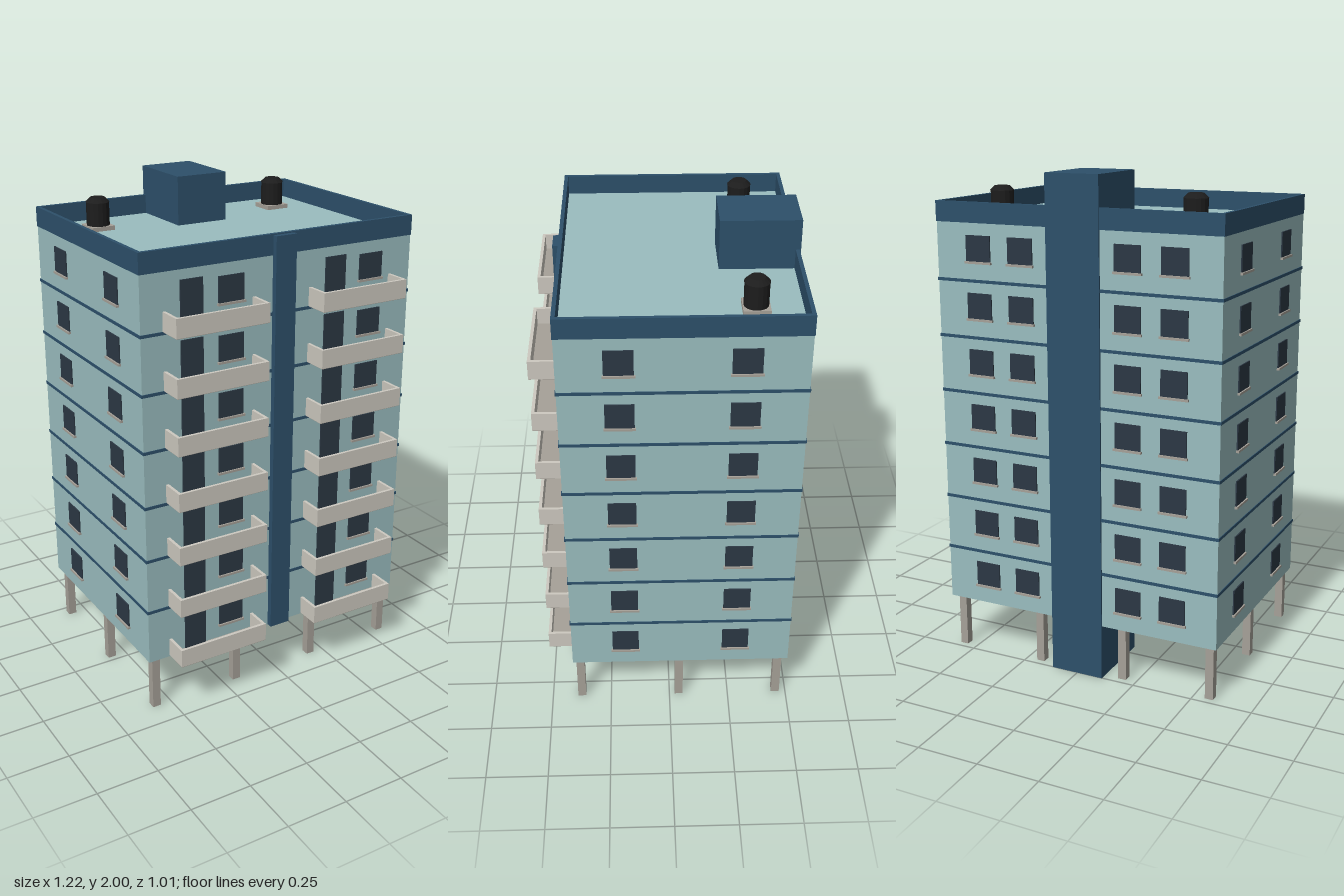
import * as THREE from 'three';

const W = 0.6, FRONT = 0.405, BACK = -0.495;
const BASE = 0.225, STOREY = 0.225, FLOORS = 7, ROOF = BASE + STOREY * FLOORS;

function material(name, color) {
  const m = new THREE.MeshStandardMaterial({ color });
  m.name = name;
  return m;
}

export function createModel() {
  const wall = material('pale teal wall', 0x9abdbf);
  const navy = material('navy trim', 0x2d506a);
  const plaster = material('balcony plaster', 0xcdc9c0);
  const concrete = material('concrete', 0xa6a198);
  const glass = material('dark glass', 0x2c3844);
  const black = material('black vent', 0x1d1d1d);

  const building = new THREE.Group();
  building.name = 'apartmentBlock';

  // Box given by its limits on each axis
  function box(parent, name, mat, x0, x1, y0, y1, z0, z1) {
    const mesh = new THREE.Mesh(new THREE.BoxGeometry(x1 - x0, y1 - y0, z1 - z0), mat);
    mesh.position.set((x0 + x1) / 2, (y0 + y1) / 2, (z0 + z1) / 2);
    mesh.name = name;
    parent.add(mesh);
    return mesh;
  }

  function group(parent, name, x = 0, y = 0, z = 0, turn = 0) {
    const g = new THREE.Group();
    g.name = name;
    g.position.set(x, y, z);
    g.rotation.y = turn;
    parent.add(g);
    return g;
  }

  // Pane with a projecting sill, facing local +z; y is measured from the storey floor
  function addWindow(x, y, z, turn) {
    const g = group(building, 'window', x, y, z, turn);
    box(g, 'windowPane', glass, -0.054, 0.054, 0.077, 0.178, -0.003, 0.005);
    box(g, 'windowSill', concrete, -0.059, 0.059, 0.068, 0.077, -0.003, 0.011);
  }

  // Open-topped balcony: slab, front parapet and two cheeks
  function addBalcony(x, y) {
    const g = group(building, 'balcony', x, y, FRONT);
    const h = 0.195, depth = 0.102, t = 0.012;
    box(g, 'balconySlab', concrete, -h + 0.001, h - 0.001, 0.004, 0.016, -0.002, depth - 0.001);
    box(g, 'balconyFront', plaster, -h, h, 0.006, 0.08, depth - t, depth);
    for (const s of [-1, 1]) {
      const c = s * (h - t / 2);
      box(g, 'balconyCheek', plaster, c - t / 2, c + t / 2, 0.006, 0.08, 0, depth - t);
    }
  }

  // Main body, rear stair core and front fin
  box(building, 'body', wall, -W, W, BASE, ROOF + 0.003, BACK, FRONT);
  box(building, 'stairCore', navy, -0.112, 0.112, 0, 2, -0.502, -0.196);
  box(building, 'frontFin', navy, -0.045, 0.045, BASE, 1.875, FRONT - 0.01, 0.428);

  // Roof parapet
  const P = W + 0.002, T = 0.015, TOP = 1.88, zf = FRONT + 0.002, zb = BACK - 0.002;
  box(building, 'parapetFront', navy, -P, P, ROOF, TOP, zf - T, zf);
  box(building, 'parapetBack', navy, -P, P, ROOF, TOP, zb, zb + T);
  box(building, 'parapetLeft', navy, P - T, P, ROOF, TOP, zb + T, zf - T);
  box(building, 'parapetRight', navy, -P, T - P, ROOF, TOP, zb + T, zf - T);

  // Ground-level columns
  for (const x of [-0.565, -0.189, 0.187, 0.562]) {
    for (const z of [-0.456, -0.04, 0.375]) {
      box(building, 'column', concrete, x - 0.017, x + 0.017, 0, BASE, z - 0.017, z + 0.017);
    }
  }

  for (let i = 0; i < FLOORS; i++) {
    const y = BASE + i * STOREY;

    // Band between storeys
    if (i > 0) {
      box(building, 'floorBand', navy, -W - 0.003, W + 0.003, y - 0.006, y + 0.006, BACK - 0.003, FRONT + 0.003);
    }

    // Front: balcony, door and window on each half
    for (const s of [-1, 1]) addBalcony(s * 0.315, y);
    for (const x of [-0.392, 0.24]) {
      box(building, 'balconyDoor', glass, x - 0.047, x + 0.047, y + 0.014, y + 0.187, FRONT - 0.003, FRONT + 0.005);
    }
    for (const x of [-0.226, 0.407]) addWindow(x, y, FRONT, 0);

    // Back and sides
    for (const x of [-0.415, -0.226, 0.227, 0.413]) addWindow(x, y, BACK, Math.PI);
    for (const z of [-0.27, 0.182]) {
      addWindow(W, y, z, Math.PI / 2);
      addWindow(-W, y, z, -Math.PI / 2);
    }
  }

  // Roof vents: plinth, faceted drum and bevelled cap
  const faceted = (geometry) => {
    const flat = geometry.toNonIndexed();
    flat.computeVertexNormals();
    return flat;
  };
  const drum = faceted(new THREE.CylinderGeometry(0.046, 0.046, 0.095, 16));
  const cap = faceted(new THREE.CylinderGeometry(0.03, 0.048, 0.018, 16));
  for (const x of [-0.415, 0.412]) {
    const g = group(building, 'roofVent', x, ROOF, -0.31);
    box(g, 'ventPlinth', concrete, -0.05, 0.05, 0, 0.02, -0.05, 0.05);
    const body = new THREE.Mesh(drum, black);
    body.name = 'ventDrum';
    body.position.y = 0.0675;
    const lid = new THREE.Mesh(cap, black);
    lid.name = 'ventCap';
    lid.position.y = 0.122;
    g.add(body, lid);
  }

  return building;
}
